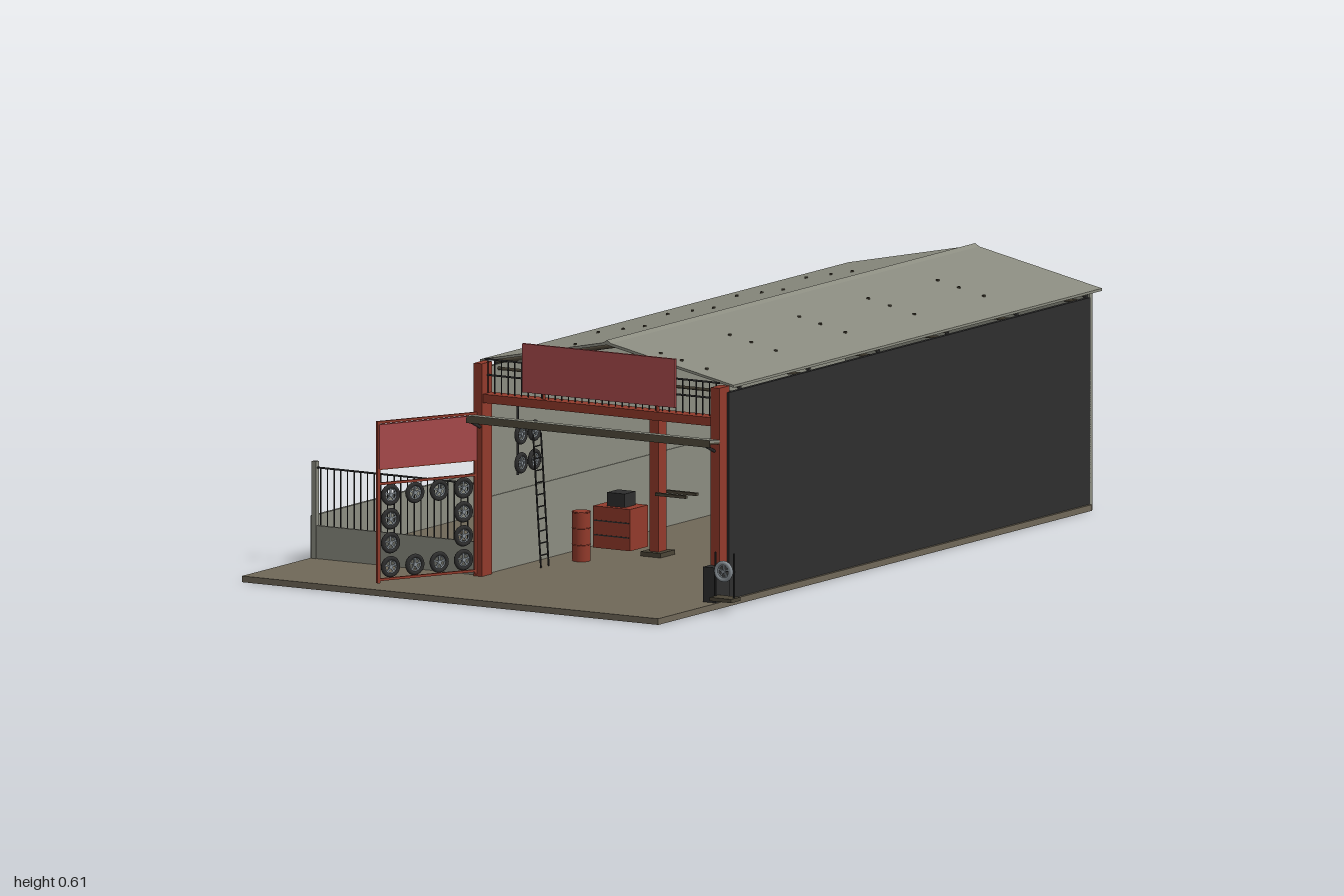
import * as THREE from 'three';

const mat = (name, color, extra = {}) => {
  const m = new THREE.MeshStandardMaterial({ color, ...extra });
  m.name = name;
  return m;
};

export function createModel() {
  const concrete = mat('concreteGrey', 0x8b8c80);
  const ground = mat('groundBrown', 0x706858);
  const dark = mat('darkPanel', 0x2e2e2e);
  const red = mat('paintedSteelRed', 0x923a2b);
  const sign = mat('signRed', 0xa84a4b);
  const metal = mat('wheelMetal', 0x8a9298);
  const wood = mat('darkOlive', 0x4a4436);
  const root = new THREE.Group();

  // Box given by its limits on each axis
  const box = (name, m, x0, x1, y0, y1, z0, z1, parent = root) => {
    const mesh = new THREE.Mesh(new THREE.BoxGeometry(x1 - x0, y1 - y0, z1 - z0), m);
    mesh.position.set((x0 + x1) / 2, (y0 + y1) / 2, (z0 + z1) / 2);
    mesh.name = name;
    parent.add(mesh);
    return mesh;
  };
  // Round or square bar between two points
  const bar = (name, m, a, b, r, parent = root, sides = 6) => {
    const p = new THREE.Vector3(...a), q = new THREE.Vector3(...b);
    const mesh = new THREE.Mesh(new THREE.CylinderGeometry(r, r, p.distanceTo(q), sides), m);
    mesh.position.copy(p).lerp(q, 0.5);
    mesh.quaternion.setFromUnitVectors(new THREE.Vector3(0, 1, 0), q.sub(p).normalize());
    mesh.name = name;
    parent.add(mesh);
    return mesh;
  };
  const extrude = (name, m, pts, depth) => {
    const shape = new THREE.Shape(pts.map(p => new THREE.Vector2(...p)));
    const mesh = new THREE.Mesh(new THREE.ExtrudeGeometry(shape, { depth, bevelEnabled: false }), m);
    mesh.name = name;
    root.add(mesh);
    return mesh;
  };

  // Spoked wheel facing +z
  const tyreGeo = new THREE.TorusGeometry(0.0205, 0.0055, 8, 20);
  const rimGeo = new THREE.TorusGeometry(0.0155, 0.0025, 6, 20);
  const hubGeo = new THREE.CylinderGeometry(0.005, 0.005, 0.008, 10).rotateX(Math.PI / 2);
  const spokeGeo = new THREE.BoxGeometry(0.004, 0.014, 0.004).translate(0, 0.008, 0);
  const wheel = (parent, x, y, z, ry = 0, tyreMat = dark) => {
    const g = new THREE.Group();
    g.name = 'wheel';
    g.add(new THREE.Mesh(tyreGeo, tyreMat), new THREE.Mesh(rimGeo, metal), new THREE.Mesh(hubGeo, metal));
    for (let i = 0; i < 5; i++) {
      const s = new THREE.Mesh(spokeGeo, metal);
      s.rotation.z = i * Math.PI * 0.4;
      g.add(s);
    }
    g.position.set(x, y, z);
    g.rotation.y = ry;
    parent.add(g);
  };

  // Ground slabs
  box('yardFloor', ground, -0.615, -0.145, 0, 0.015, -0.04, 1);
  box('hallFloor', ground, -0.145, 0.557, 0, 0.015, -0.955, 1);

  // Hall walls
  box('rightWall', dark, 0.54, 0.55, 0.015, 0.515, -0.958, 0.67);
  box('leftLowerWall', concrete, -0.147, -0.135, 0, 0.2, -0.958, 0.665);
  const ribs = 80, step = 1.61 / ribs, outline = [[-0.137, 0.955], [-0.137, -0.655]];
  for (let i = 0; i <= ribs; i++) {
    const z = -0.655 + i * step;
    outline.push([-0.140, z]);
    if (i < ribs) outline.push([-0.140, z + step * 0.4], [-0.147, z + step * 0.5], [-0.147, z + step * 0.9]);
  }
  const cladding = extrude('leftCorrugatedWall', concrete, outline, 0.315);
  cladding.rotation.x = -Math.PI / 2;
  cladding.position.y = 0.2;
  extrude('backWall', concrete,
    [[-0.147, 0], [0.55, 0], [0.55, 0.525], [0.2, 0.598], [-0.147, 0.525]], 0.012).position.z = -0.967;

  // Pitched roof and ridge cap
  extrude('roof', concrete, [[-0.157, 0.526], [0.2, 0.598], [0.557, 0.526],
    [0.557, 0.532], [0.2, 0.605], [-0.157, 0.532]], 1.66).position.z = -1;
  extrude('ridgeCap', concrete, [[0.188, 0.602], [0.2, 0.604], [0.212, 0.602], [0.2, 0.61]], 1.66).position.z = -1;

  // Roof frames with stub posts and bolt heads
  for (let i = 0; i < 6; i++) {
    const z = 0.61 - i * 0.312;
    for (const s of [-1, 1]) {
      const at = d => 0.2 + s * d;
      bar('roofStub', dark, [at(0.342), 0.50, z], [at(0.342), 0.53, z], 0.005);
      bar('rafter', wood, [at(0.345), 0.52, z], [at(0), 0.59, z], 0.005, root, 4);
      bar('trussStrut', wood, [at(0.16), 0.505, z], [at(0.08), 0.574, z], 0.003, root, 4);
      if (i < 5) for (const d of [0.12, 0.18, 0.25])
        box('roofBolt', wood, at(d) - 0.003, at(d) + 0.003, 0.6 - d * 0.204, 0.609 - d * 0.204, z - 0.003, z + 0.003);
    }
    bar('tieBeam', wood, [-0.137, 0.505, z], [0.54, 0.505, z], 0.004, root, 4);
  }

  // Front portal
  box('leftPost', red, -0.147, -0.124, 0.015, 0.53, 0.66, 0.705);
  box('rightPost', red, 0.52, 0.545, 0.015, 0.53, 0.66, 0.705);
  box('portalBeam', red, -0.124, 0.52, 0.435, 0.456, 0.66, 0.70);
  box('signBoard', sign, -0.015, 0.415, 0.47, 0.588, 0.69, 0.698);
  for (const y of [0.50, 0.538]) bar('portalRail', dark, [-0.13, y, 0.68], [0.53, y, 0.68], 0.0025);
  for (let i = 0; i <= 34; i++) {
    const x = -0.122 + i * 0.0189;
    bar('portalBar', dark, [x, 0.455, 0.68], [x, 0.54, 0.68], 0.0018, root, 4);
  }
  for (const x of [0.04, 0.36]) bar('signStay', red, [x, 0.455, 0.687], [x, 0.56, 0.687], 0.004);

  // Canopy over the doorway
  const canopy = new THREE.Group();
  canopy.name = 'canopy';
  box('canopyTop', concrete, -0.14, 0.545, 0.004, 0.010, -0.025, 0.025, canopy);
  box('canopyEdge', wood, -0.14, 0.545, -0.008, 0.009, 0.021, 0.026, canopy);
  box('canopyUnderside', wood, -0.14, 0.545, 0, 0.004, -0.025, 0.021, canopy);
  canopy.position.set(0, 0.397, 0.724);
  canopy.rotation.x = -0.12;
  root.add(canopy);
  for (const x of [-0.13, 0.53]) bar('canopyBracket', dark, [x, 0.375, 0.70], [x, 0.395, 0.745], 0.004);

  // Open gate hung with wheels; local x runs outwards from the hinge
  const gate = new THREE.Group();
  gate.name = 'gate';
  gate.position.set(-0.14, 0, 0.70);
  gate.rotation.y = Math.atan2(-0.883, -0.469);
  root.add(gate);
  for (const x of [0.004, 0.273]) box('gatePost', red, x - 0.004, x + 0.004, 0.02, 0.412, -0.004, 0.004, gate);
  for (const y of [0.028, 0.26, 0.297, 0.409]) box('gateRail', red, 0, 0.277, y - 0.003, y + 0.003, -0.003, 0.003, gate);
  box('gateSign', sign, 0.004, 0.273, 0.297, 0.404, -0.005, 0.005, gate);
  for (let i = 0; i < 4; i++) for (let j = 0; j < 4; j++)
    if (i % 3 === 0 || j % 3 === 0) wheel(gate, 0.038 + i * 0.067, 0.057 + j * 0.058, 0);

  // Yard walls and railing
  box('yardSideWall', concrete, -0.615, -0.607, 0.0, 0.118, -0.04, 0.69);
  box('yardFrontWall', concrete, -0.607, -0.147, 0.015, 0.095, 0.684, 0.692);
  box('railingPost', concrete, -0.61, -0.597, 0.015, 0.25, 0.681, 0.695);
  bar('railingTop', dark, [-0.6, 0.235, 0.688], [-0.147, 0.235, 0.688], 0.0025);
  for (let i = 0; i < 24; i++) {
    const x = -0.588 + i * 0.0188;
    bar('railingBar', dark, [x, 0.095, 0.688], [x, 0.235, 0.688], 0.0018, root, 4);
  }

  // Two-post vehicle lift
  for (const s of [-1, 1]) {
    const span = (name, m, a, b, ...rest) => box(name, m, 0.2 + Math.min(s * a, s * b), 0.2 + Math.max(s * a, s * b), ...rest);
    span('liftPost', red, 0.12, 0.146, 0.02, 0.352, 0.2, 0.235);
    span('liftBase', wood, 0.105, 0.162, 0.015, 0.026, 0.185, 0.25);
    for (const z of [0.19, 0.238]) span('liftArm', wood, 0.036, 0.122, 0.164, 0.171, z, z + 0.01);
  }

  // Barrel, tool cabinet and box
  const barrel = bar('barrel', red, [-0.047, 0.015, 0.38], [-0.047, 0.135, 0.38], 0.022, root, 24);
  for (const dy of [-0.02, 0.02, 0.058]) {
    const hoop = new THREE.Mesh(new THREE.TorusGeometry(0.022, 0.0012, 6, 24), red);
    hoop.rotation.x = Math.PI / 2;
    hoop.position.y = dy;
    hoop.name = 'barrelHoop';
    barrel.add(hoop);
  }
  box('toolCabinet', red, -0.108, -0.003, 0.02, 0.121, 0.15, 0.23);
  for (const y of [0.05, 0.085]) box('drawerGap', dark, -0.104, -0.007, y, y + 0.003, 0.229, 0.2315);
  box('toolBox', dark, -0.078, -0.028, 0.121, 0.154, 0.165, 0.215);

  // Ladder leaning on the left wall
  const lean = t => [-0.095 + 0.022 * t, 0.335 - 0.32 * t];
  for (const z of [0.485, 0.52]) bar('ladderSide', dark, [...lean(0), z], [...lean(1), z], 0.0022);
  for (let i = 1; i < 11; i++) bar('ladderRung', dark, [...lean(i / 11), 0.485], [...lean(i / 11), 0.52], 0.0018);

  // Wheels hung on the left wall
  for (const y of [0.27, 0.34]) for (const z of [0.49, 0.55]) wheel(root, -0.11, y, z, Math.PI / 2);
  bar('wallRail', dark, [-0.12, 0.43, 0.55], [-0.12, 0.24, 0.55], 0.003);

  // Dark bin and wheel stand beside the right post
  box('bin', dark, 0.518, 0.553, 0.015, 0.1, 0.67, 0.735);
  box('standBase', wood, 0.553, 0.614, 0.024, 0.033, 0.72, 0.762);
  for (const x of [0.556, 0.608]) bar('standPost', dark, [x, 0.03, 0.74], [x, 0.14, 0.74], 0.0022);
  bar('standAxle', dark, [0.556, 0.095, 0.735], [0.608, 0.095, 0.735], 0.0018);
  wheel(root, 0.58, 0.095, 0.742, 0, metal);

  return root;
}
